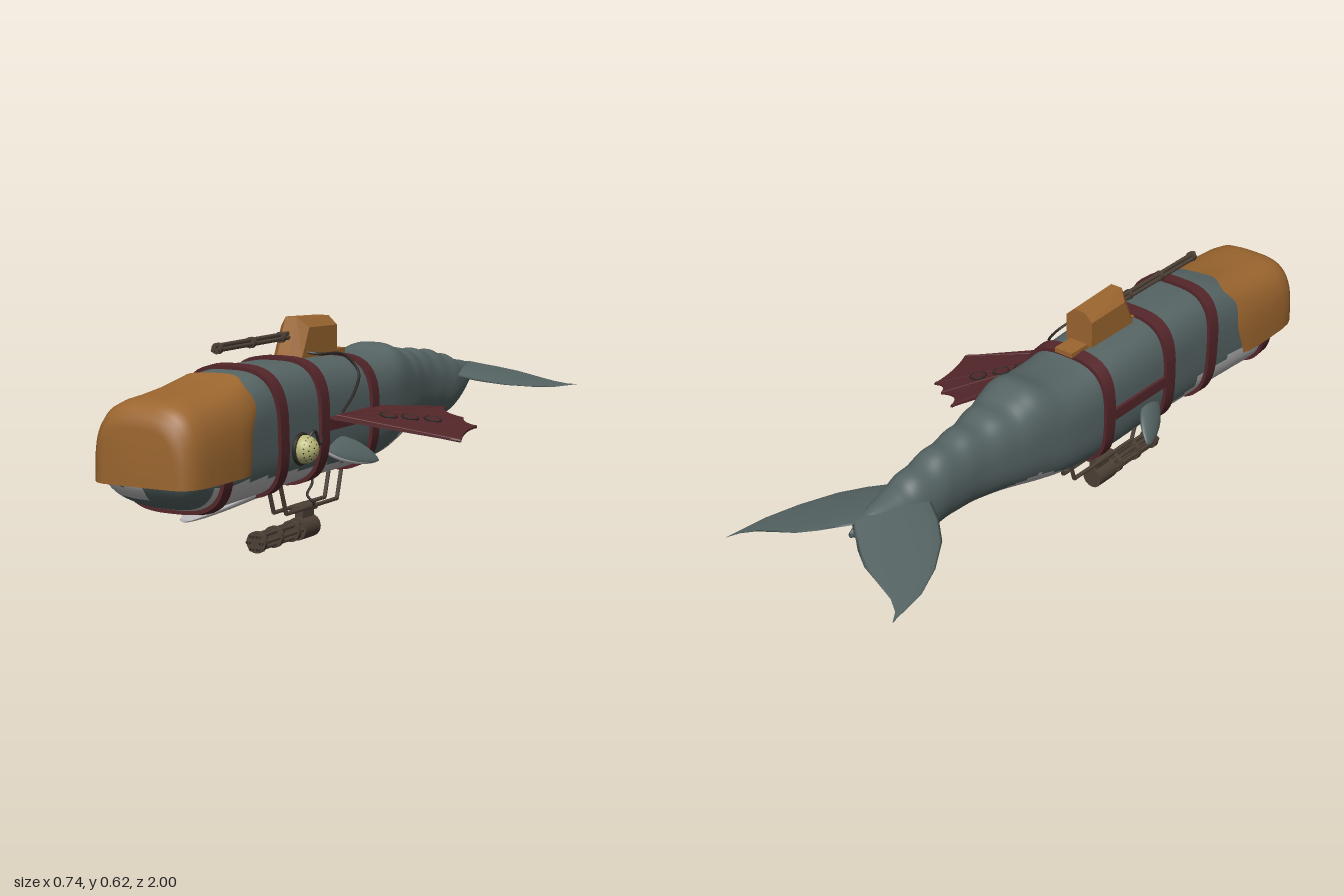
import * as THREE from 'three';
import { mergeVertices, toCreasedNormals } from 'three/addons/utils/BufferGeometryUtils.js';
import { ConvexGeometry } from 'three/addons/geometries/ConvexGeometry.js';

const flat = (name, color, side = THREE.FrontSide) => {
  const m = new THREE.MeshStandardMaterial({ color, side });
  m.name = name;
  return m;
};
const V = (x, y, z) => new THREE.Vector3(x, y, z);

// Body stations, tail to head: z, top, bottom, half width
const stations = [
  [-0.84, 0.37, 0.355, 0.004], [-0.78, 0.395, 0.33, 0.025], [-0.68, 0.415, 0.285, 0.056], [-0.6, 0.438, 0.252, 0.07],
  [-0.5, 0.46, 0.253, 0.071], [-0.4, 0.472, 0.25, 0.077], [-0.3, 0.484, 0.238, 0.096], [-0.24, 0.497, 0.226, 0.108],
  [-0.18, 0.515, 0.212, 0.118], [-0.1, 0.497, 0.2, 0.13], [0, 0.493, 0.192, 0.137], [0.1, 0.505, 0.188, 0.139],
  [0.3, 0.515, 0.188, 0.14], [0.6, 0.514, 0.18, 0.142], [0.7, 0.495, 0.179, 0.146], [0.82, 0.465, 0.182, 0.15],
  [0.9, 0.455, 0.203, 0.148], [0.96, 0.43, 0.238, 0.135], [0.985, 0.4, 0.275, 0.1],
];
const spline = new THREE.CubicInterpolant(stations.map((s) => s[0]), stations.flatMap((s) => s.slice(1)), 3);
const spow = (c, n) => Math.sign(c) * Math.abs(c) ** (2 / n);

// Point on the body at station z and angle a, pushed out by grow
function bodyPoint(z, a, grow = 0) {
  let [top, bottom, hw] = spline.evaluate(z);
  if (z < -0.24 && z > -0.66) top += 0.004 * Math.sin((z + 0.24) * 62);
  const n = THREE.MathUtils.lerp(2.1, 3.1, THREE.MathUtils.smoothstep(z, -0.6, 0.1));
  return V(spow(Math.cos(a), n) * (hw + grow),
    (top + bottom) / 2 + spow(Math.sin(a), n) * ((top - bottom) / 2 + grow), z);
}

// Grid surface; second(p) chooses the faces that take the second material
function surface(nu, nv, fn, second = () => false) {
  const pos = [], lists = [[], []], pts = [];
  for (let i = 0; i <= nu; i++) for (let j = 0; j <= nv; j++) {
    const p = fn(i / nu, j / nv);
    pts.push(p);
    pos.push(p.x, p.y, p.z);
  }
  for (let i = 0; i < nu; i++) for (let j = 0; j < nv; j++) {
    const a = i * (nv + 1) + j, b = a + 1, c = a + nv + 1, d = c + 1;
    const mid = pts[a].clone().add(pts[d]).multiplyScalar(0.5);
    lists[second(mid) ? 1 : 0].push(a, b, c, b, d, c);
  }
  let g = new THREE.BufferGeometry();
  g.setAttribute('position', new THREE.Float32BufferAttribute(pos, 3));
  g.setIndex([...lists[0], ...lists[1]]);
  g = mergeVertices(g, 1e-5);
  g.computeVertexNormals();
  g.addGroup(0, lists[0].length, 0);
  g.addGroup(lists[0].length, lists[1].length, 1);
  return g;
}

export function createModel() {
  const root = new THREE.Group();
  const whale = new THREE.Group();
  whale.name = 'armouredWhale';
  whale.position.x = -0.08;
  root.add(whale);

  const skin = flat('skin grey', 0x566464, THREE.DoubleSide);
  const belly = flat('belly white', 0xb9b9bb, THREE.DoubleSide);
  const bronze = flat('bronze', 0x9c662f, THREE.DoubleSide);
  const leather = flat('dark red leather', 0x54262a, THREE.DoubleSide);
  const iron = flat('gun iron', 0x4d4136);
  const glass = flat('eye yellow', 0xb9b878);
  const dark = flat('dark detail', 0x2e2a26);

  const add = (name, geo, mat, x = 0, y = 0, z = 0, parent = whale) => {
    const m = new THREE.Mesh(geo, mat);
    m.name = name;
    m.position.set(x, y, z);
    parent.add(m);
    return m;
  };
  const rod = (name, a, b, r, mat, sides = 8) => {
    const m = add(name, new THREE.CylinderGeometry(r, r, a.distanceTo(b), sides), mat);
    m.position.copy(a).add(b).multiplyScalar(0.5);
    m.quaternion.setFromUnitVectors(V(0, 1, 0), b.clone().sub(a).normalize());
    return m;
  };
  const cable = (name, pts, r, mat) =>
    add(name, new THREE.TubeGeometry(new THREE.CatmullRomCurve3(pts), 32, r, 6), mat);

  // Body with pale belly patches
  const edge = new THREE.LinearInterpolant([-0.42, -0.34, -0.2, -0.03, 0.1, 0.3, 0.6, 0.88],
    [0.2, 0.262, 0.272, 0.21, 0.212, 0.235, 0.245, 0.262], 1);
  const isBelly = (p) => {
    if (p.z > 0.87) return p.x < 0 && p.y > 0.23 && p.y < 0.268;
    return p.z > -0.42 && p.y < edge.evaluate(p.z)[0] + (p.x < 0 && p.z > 0.5 ? 0.035 : 0);
  };
  add('body', surface(150, 72, (u, v) => {
    if (u === 1) return V(0, 0.33, 0.987);
    return bodyPoint(-0.84 + Math.min(u * 150 / 149, 1) * 1.825, v * Math.PI * 2);
  }, isBelly), [skin, belly]);

  // Tail flukes: offset, leading z, trailing z
  const fluke = [[0, -0.56, -0.83], [0.04, -0.58, -0.86], [0.07, -0.605, -0.885], [0.12, -0.635, -0.915],
    [0.18, -0.69, -0.93], [0.235, -0.78, -0.945], [0.27, -0.87, -0.968], [0.29, -0.998, -1]];
  for (const s of [-1, 1]) {
    add(s > 0 ? 'leftFluke' : 'rightFluke', surface(fluke.length - 1, 16, (u, v) => {
      const [x, lead, trail] = fluke[Math.round(u * (fluke.length - 1))];
      const a = v * Math.PI * 2, t = (1 - Math.cos(a)) / 2;
      const thick = 0.02 * (1 - x / 0.295) * (1 - 0.6 * t);
      return V(s * x, 0.388 - 0.25 * x + Math.sin(a) * thick * s, lead + (trail - lead) * t);
    }), skin);
  }

  // Pectoral fins with pale undersides
  for (const s of [-1, 1]) {
    add(s > 0 ? 'leftFin' : 'rightFin', surface(16, 20, (u, v) => {
      const a = v * Math.PI * 2, w = Math.sin(Math.PI * Math.min(1, 0.22 + u * 0.78)) ** 0.7;
      const c = Math.cos(a) * w * 0.042, t = Math.sin(a) * w * 0.012;
      return V(s * (0.12 + 0.09 * u + t + c * 0.25), 0.29 - 0.06 * u + t - c * 0.6, 0.29 - 0.135 * u + c * 0.8);
    }, (p) => p.y < 0.29 - 0.06 * (Math.abs(p.x) - 0.12) / 0.09 - 0.008), [skin, belly]);
  }

  // Lower jaw, hanging open, with two rows of teeth
  add('lowerJaw', surface(16, 20, (u, v) => {
    const a = v * Math.PI * 2, w = Math.sqrt(Math.max(0, 1 - u ** 4));
    const y = Math.sin(a) * (0.012 + 0.02 * (1 - u)) * w;
    return V(Math.cos(a) * w * (0.072 - 0.037 * u), 0.195 - 0.046 * u + (y > 0 ? y * 0.3 : y), 0.5 + 0.31 * u);
  }), belly);
  for (const s of [-1, 1]) for (let i = 0; i < 9; i++) {
    const u = 0.25 + i * 0.075;
    add('tooth', new THREE.ConeGeometry(0.005, 0.018, 6), belly, s * (0.058 - 0.034 * u), 0.208 - 0.046 * u, 0.5 + 0.31 * u);
  }

  // Bronze head armour
  const shell = [[0.66, 0.247, 0.15], [0.7, 0.238, 0.157], [0.76, 0.226, 0.16], [0.85, 0.216, 0.16], [0.91, 0.212, 0.159],
    [0.95, 0.205, 0.154], [0.975, 0.192, 0.144], [0.99, 0.172, 0.128], [0.998, 0.145, 0.105], [1, 0, 0]];
  add('headArmour', surface(shell.length - 1, 48, (u, v) => {
    const [z, h, w] = shell[Math.round(u * (shell.length - 1))];
    const a = v * Math.PI, up = spow(Math.sin(a), 3.3);
    const back = Math.max(0, (0.8 - z) / 0.14);
    return V(spow(Math.cos(a), 3.3) * w, 0.268 + up * h, z + back * (1 - up) * 0.055 + back * 0.01 * Math.sin(a * 8));
  }), bronze);

  // Leather straps around the body
  const strap = (z, half, slant, a0, a1) => add('strap', toCreasedNormals(surface(3, 48, (u, v) => {
    const k = Math.round(u * 3), a = a0 + (a1 - a0) * v;
    const zz = z + (k < 2 ? -half : half) + slant * Math.sin(a);
    return bodyPoint(zz, a, k % 3 === 0 ? -0.004 : 0.01);
  }), 0.6), leather);
  strap(0.83, 0.02, 0, Math.PI * 1.06, Math.PI * 1.94);
  strap(0.55, 0.021, 0.015, 0, Math.PI * 2);
  strap(0.34, 0.022, 0, 0, Math.PI * 2);
  strap(0.06, 0.02, 0, 0, Math.PI * 2);
  for (const s of [-1, 1]) add('sideStrap', new THREE.BoxGeometry(0.014, 0.032, 0.27), leather, s * 0.142, 0.345, 0.2);

  // Scalloped leather wing on the left side, sloping outward
  const slope = (x) => 0.362 - 0.205 * (x - 0.14);
  const shape = new THREE.Shape();
  shape.moveTo(0.12, -0.32);
  shape.lineTo(0.45, -0.13);
  shape.quadraticCurveTo(0.4, -0.03, 0.4, 0.065);
  shape.quadraticCurveTo(0.36, 0.05, 0.335, 0.11);
  shape.quadraticCurveTo(0.27, 0.09, 0.245, 0.17);
  shape.lineTo(0.12, -0.08);
  const wing = new THREE.ExtrudeGeometry(shape, { depth: 0.006, bevelEnabled: false }).rotateX(-Math.PI / 2);
  const wp = wing.attributes.position;
  for (let i = 0; i < wp.count; i++) wp.setY(i, wp.getY(i) - 0.003 + slope(wp.getX(i)));
  wing.computeVertexNormals();
  add('wing', wing, leather);
  for (const [x, z] of [[0.245, -0.165], [0.335, -0.105], [0.4, -0.06], [0.447, 0.13]])
    rod('wingRib', V(0.13, slope(0.13), 0.27), V(x, slope(x), z), 0.005, leather, 6);
  for (const [x, z] of [[0.22, 0.12], [0.26, 0.07], [0.305, 0.02]]) {
    const disc = add('wingRivet', new THREE.CylinderGeometry(0.023, 0.023, 0.014, 18), leather, x, slope(x), z);
    disc.rotation.z = -0.2;
    const ring = add('wingRivetRing', new THREE.TorusGeometry(0.023, 0.003, 6, 20), dark, x, slope(x) + 0.006, z);
    ring.rotation.set(Math.PI / 2, -0.2, 0);
  }

  // Mechanical eye with a dotted lens
  add('eye', new THREE.SphereGeometry(0.038, 28, 20), glass, 0.157, 0.3, 0.462);
  add('eyeRing', new THREE.TorusGeometry(0.039, 0.006, 8, 28), dark, 0.147, 0.3, 0.462).rotation.y = Math.PI / 2;
  for (let k = 1; k < 4; k++) for (let i = 0; i < k * 6; i++) {
    const a = i / (k * 6) * Math.PI * 2, t = k * 0.38;
    const d = V(Math.cos(t), Math.sin(t) * Math.cos(a), Math.sin(t) * Math.sin(a));
    const dot = add('eyeDot', new THREE.CircleGeometry(0.0022, 8), dark);
    dot.position.set(0.157, 0.3, 0.462).addScaledVector(d, 0.0384);
    dot.quaternion.setFromUnitVectors(V(0, 0, 1), d);
  }
  cable('eyeCable', [V(0.145, 0.32, 0.43), V(0.15, 0.34, 0.4), V(0.148, 0.3, 0.37), V(0.145, 0.34, 0.34)], 0.004, dark);
  cable('turretCable', [V(0.04, 0.53, 0.26), V(0.07, 0.525, 0.24), V(0.095, 0.515, 0.15), V(0.13, 0.47, 0.13),
    V(0.147, 0.42, 0.18), V(0.148, 0.37, 0.25)], 0.004, dark);

  // Top turret, its base and the triple barrel
  const hull = [];
  for (const s of [-1, 1]) hull.push(V(s * 0.018, 0.515, 0.32), V(s * 0.045, 0.515, 0.29), V(s * 0.045, 0.597, 0.25),
    V(s * 0.018, 0.626, 0.27), V(s * 0.045, 0.515, 0.1), V(s * 0.045, 0.592, 0.1), V(s * 0.018, 0.617, 0.1));
  add('turret', new ConvexGeometry(hull), bronze);
  add('turretBase', new THREE.BoxGeometry(0.06, 0.014, 0.3), bronze, 0, 0.514, 0.18);
  for (let i = 0; i < 3; i++) {
    const a = Math.PI / 2 + i * Math.PI * 2 / 3, x = Math.cos(a) * 0.007, y = 0.575 + Math.sin(a) * 0.007;
    rod('turretBarrel', V(x, y, 0.26), V(x, y, 0.65), 0.006, iron);
  }
  for (const z of [0.32, 0.47, 0.63]) rod('barrelClamp', V(0, 0.575, z), V(0, 0.575, z + 0.012), 0.015, iron, 16);

  // Belly frame
  for (const s of [-1, 1]) {
    const pts = [V(s * 0.02, 0.19, 0.37), V(s * 0.02, 0.092, 0.335), V(s * 0.02, 0.092, 0.06), V(s * 0.02, 0.19, 0.03)];
    for (let i = 0; i < 3; i++) rod('frameBar', pts[i], pts[i + 1], 0.006, iron);
  }
  add('gunMount', new THREE.BoxGeometry(0.044, 0.016, 0.08), iron, 0, 0.09, 0.21);

  // Rotary gun under the belly
  add('gunBody', new THREE.BoxGeometry(0.026, 0.05, 0.06), iron, 0, 0.07, 0.205);
  rod('gunMotor', V(0, 0.033, 0.17), V(0, 0.033, 0.25), 0.032, iron, 16);
  for (let i = 0; i < 6; i++) {
    const a = i * Math.PI / 3, x = Math.cos(a) * 0.02, y = 0.033 + Math.sin(a) * 0.02;
    rod('gunBarrel', V(x, y, 0.24), V(x, y, 0.47), 0.006, iron);
    add('muzzle', new THREE.CircleGeometry(0.004, 8), dark, x, y, 0.4705);
  }
  for (const z of [0.27, 0.36, 0.445]) rod('gunDisc', V(0, 0.033, z), V(0, 0.033, z + 0.014), 0.03, iron, 20);
  cable('gunCable', [V(0.01, 0.09, 0.2), V(0.028, 0.1, 0.2), V(0.012, 0.125, 0.21), V(0.02, 0.16, 0.195), V(0.01, 0.2, 0.2)], 0.004, dark);

  return root;
}
